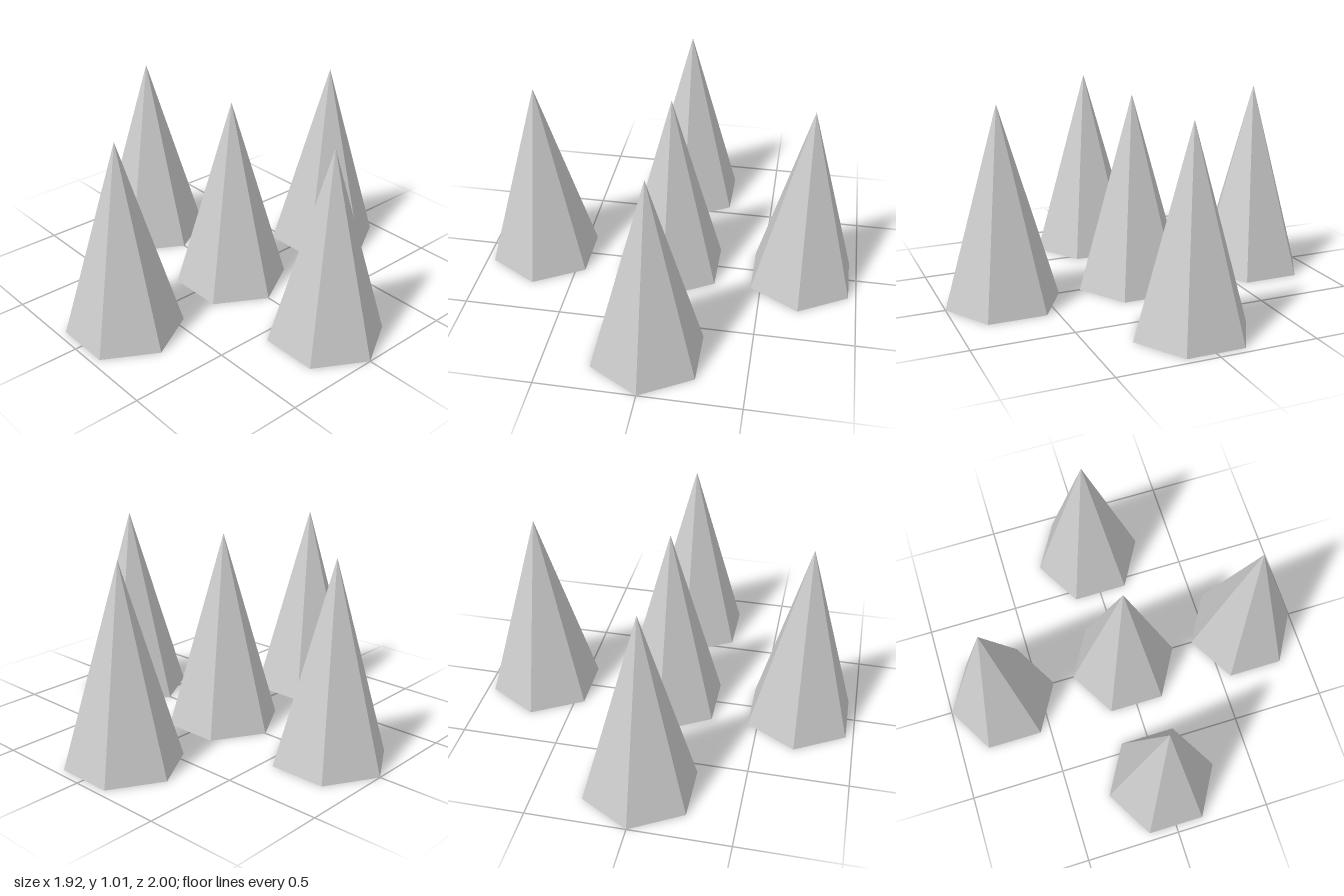
import * as THREE from 'three';

const RADIUS = 0.295;
const HEIGHT = 1.01;
const SPACING = 0.705;

export function createModel() {
  const model = new THREE.Group();
  model.name = 'spikeCluster';
  const material = new THREE.MeshStandardMaterial({ color: 0xcccccc, flatShading: true });

  // Six-sided spike with a closed base, standing on y = 0
  const spikeGeometry = new THREE.ConeGeometry(RADIUS, HEIGHT, 6);
  spikeGeometry.translate(0, HEIGHT / 2, 0);

  // One spike in the middle and four around it in a cross
  const layout = {
    centreSpike: [0, 0],
    leftSpike: [1, 0],
    rightSpike: [-1, 0],
    frontSpike: [0, 1],
    backSpike: [0, -1],
  };
  for (const [name, [x, z]] of Object.entries(layout)) {
    const spike = new THREE.Mesh(spikeGeometry, material);
    spike.name = name;
    spike.position.set(x * SPACING, 0, z * SPACING);
    model.add(spike);
  }
  return model;
}
